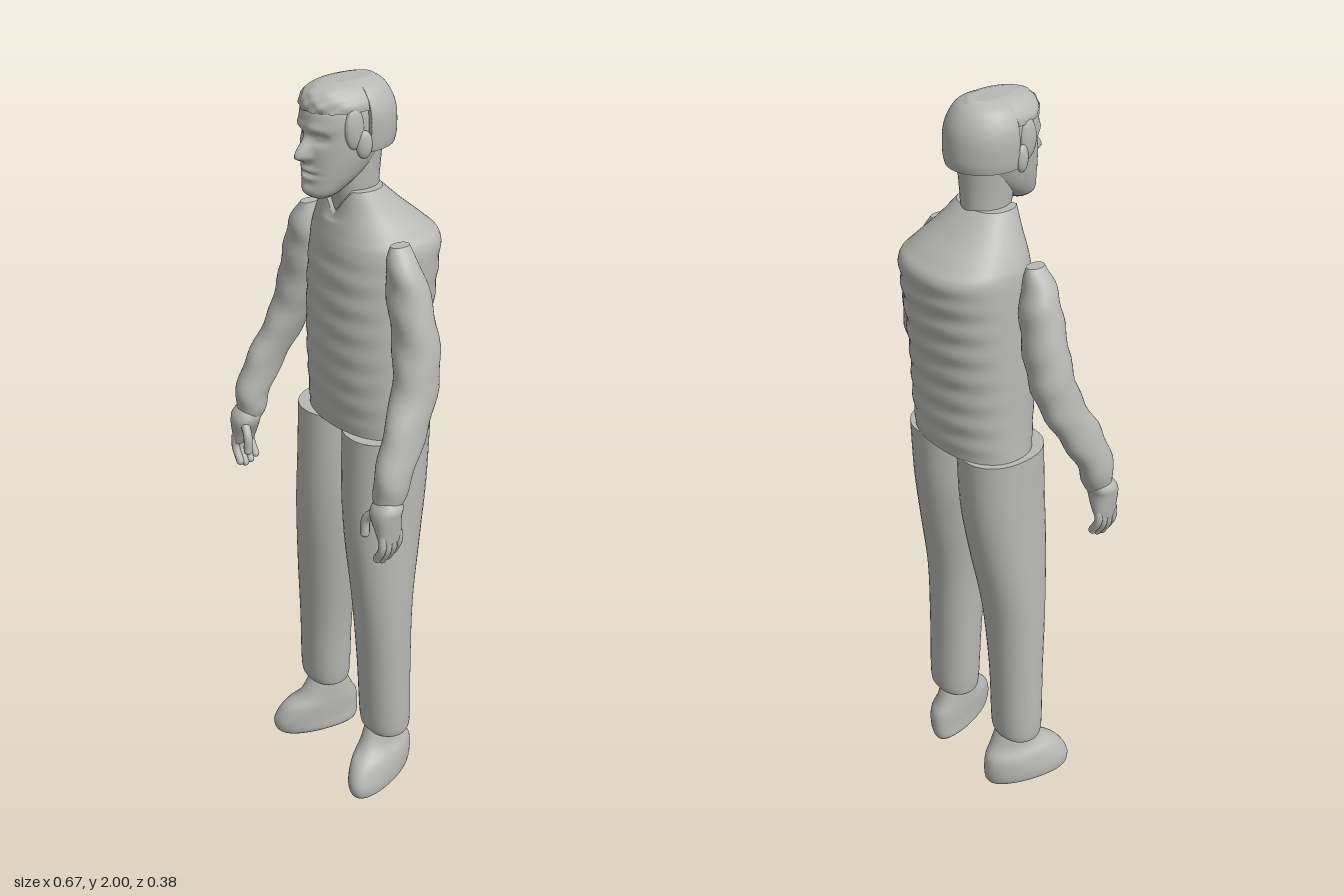
import * as THREE from 'three';

const grey = new THREE.MeshStandardMaterial({ color: 0xb8b8b4 });
grey.name = 'plain grey';

const bump = (d, w) => Math.exp(-(d * d) / (w * w));

// Smooth curve through the rows of a table
function sample(rows, steps) {
  const out = [], last = rows.length - 1;
  for (let i = 0; i <= last * steps; i++) {
    const k = Math.min(Math.floor(i / steps), last - 1), t = i / steps - k;
    const [a, b, c, d] = [k - 1, k, k + 1, k + 2].map(j => rows[Math.max(0, Math.min(last, j))]);
    out.push(b.map((p, n) => 0.5 * (2 * p + (c[n] - a[n]) * t
      + (2 * a[n] - 5 * p + 4 * c[n] - d[n]) * t * t
      + (3 * p - a[n] - 3 * c[n] + d[n]) * t * t * t)));
  }
  return out;
}

// Closed body from level sections, lowest first: [y, xMin, xMax, zMin, zMax]
function loft(name, rows, { steps = 5, sides = 36, power = 2, shape = null } = {}) {
  const rings = sample(rows, steps), pos = [], idx = [], v = new THREE.Vector3();
  const sq = c => Math.sign(c) * Math.pow(Math.abs(c), 2 / power);
  const addRing = ([y, x0, x1, z0, z1]) => {
    const first = pos.length / 3;
    for (let j = 0; j < sides; j++) {
      const t = j / sides * Math.PI * 2;
      v.set((x0 + x1) / 2 + (x1 - x0) / 2 * sq(Math.cos(t)), y, (z0 + z1) / 2 + (z1 - z0) / 2 * sq(Math.sin(t)));
      if (shape) shape(v);
      pos.push(v.x, v.y, v.z);
    }
    return first;
  };
  rings.forEach(addRing);
  for (let i = 0; i < rings.length - 1; i++) for (let j = 0; j < sides; j++) {
    const a = i * sides + j, b = i * sides + (j + 1) % sides;
    idx.push(a, a + sides, b, b, a + sides, b + sides);
  }
  // end caps with their own corners, so the rims stay sharp
  [[rings[0], false], [rings[rings.length - 1], true]].forEach(([r, top]) => {
    const f = addRing(r), c = pos.length / 3;
    v.set((r[1] + r[2]) / 2, r[0], (r[3] + r[4]) / 2);
    pos.push(v.x, v.y, v.z);
    for (let j = 0; j < sides; j++) {
      const a = f + j, b = f + (j + 1) % sides;
      if (top) idx.push(c, b, a); else idx.push(c, a, b);
    }
  });
  const g = new THREE.BufferGeometry();
  g.setAttribute('position', new THREE.Float32BufferAttribute(pos, 3));
  g.setIndex(idx);
  g.computeVertexNormals();
  const m = new THREE.Mesh(g, grey);
  m.name = name;
  return m;
}

function ball(name, x, y, z, rx, ry, rz) {
  const m = new THREE.Mesh(new THREE.SphereGeometry(1, 18, 12), grey);
  m.name = name;
  m.position.set(x, y, z);
  m.scale.set(rx, ry, rz);
  return m;
}

function finger(name, pts, r) {
  const g = new THREE.Group();
  g.name = name;
  const p = pts.map(q => new THREE.Vector3(...q)), tip = pts[pts.length - 1];
  g.add(new THREE.Mesh(new THREE.TubeGeometry(new THREE.CatmullRomCurve3(p), 10, r, 10), grey),
    ball(name + 'Tip', ...tip, r, r, r));
  return g;
}

const AXIS = 0.006; // middle line of the upper body

export function createModel() {
  const model = new THREE.Group();
  model.name = 'standingMan';

  // Ribbed vest with a V at the collar
  model.add(loft('vest', [
    [1.11, -0.165, 0.182, -0.14, 0.09], [1.2, -0.16, 0.182, -0.15, 0.1],
    [1.32, -0.158, 0.182, -0.157, 0.107], [1.44, -0.155, 0.183, -0.168, 0.108],
    [1.54, -0.152, 0.183, -0.18, 0.104], [1.605, -0.148, 0.178, -0.187, 0.097],
    [1.64, -0.135, 0.155, -0.158, 0.09], [1.69, -0.105, 0.115, -0.1, 0.08], [1.742, -0.072, 0.082, -0.045, 0.075],
  ], {
    steps: 9, sides: 56, power: 2.3, shape: v => {
      const fade = THREE.MathUtils.smoothstep(1.62 - v.y, 0, 0.08) * THREE.MathUtils.smoothstep(v.y, 1.11, 1.16);
      const fold = 1 + 0.02 * fade * Math.sin(v.y * 95 + Math.sin(v.x * 14) * 0.8);
      v.z *= fold;
      if (v.z > 0.02 && v.y > 1.66) v.y -= (v.y - 1.66) * 0.85 * Math.max(0, 1 - Math.abs(v.x - AXIS) / 0.055);
    },
  }));

  // Trousers
  model.add(loft('leftTrouserLeg', [
    [0.17, 0.065, 0.19, -0.045, 0.05], [0.195, 0.055, 0.203, -0.06, 0.065], [0.4, 0.05, 0.205, -0.06, 0.075],
    [0.6, 0.043, 0.205, -0.067, 0.09], [0.8, 0.022, 0.2, -0.1, 0.105],
    [0.95, 0.006, 0.198, -0.122, 0.105], [1.112, 0.002, 0.197, -0.132, 0.1],
  ], { power: 2.2 }));
  model.add(loft('rightTrouserLeg', [
    [0.18, -0.205, -0.08, -0.045, 0.05], [0.205, -0.218, -0.07, -0.06, 0.065], [0.4, -0.21, -0.055, -0.06, 0.075],
    [0.6, -0.203, -0.026, -0.067, 0.09], [0.8, -0.192, -0.002, -0.1, 0.105],
    [0.95, -0.185, 0.008, -0.122, 0.105], [1.112, -0.182, 0.008, -0.132, 0.1],
  ], { power: 2.2 }));

  for (const s of [1, -1]) {
    const side = s > 0 ? 'left' : 'right';
    const flip = (rows, a) => s > 0 ? rows : rows.map(([y, x0, x1, ...z]) => [y, 2 * a - x1, 2 * a - x0, ...z]);

    // Shoe, toes turned out
    model.add(loft(side + 'Shoe', flip([
      [0, 0.1, 0.185, -0.078, 0.14], [0.015, 0.088, 0.198, -0.085, 0.152], [0.05, 0.087, 0.2, -0.09, 0.155],
      [0.095, 0.085, 0.192, -0.087, 0.132], [0.135, 0.085, 0.172, -0.066, 0.085], [0.21, 0.085, 0.165, -0.038, 0.045],
    ], -0.005), { power: 2.2, shape: v => { v.x += s * 0.28 * (v.z - 0.03) * (1 - v.y / 0.3); } }));

    // Sleeve
    model.add(loft(side + 'Sleeve', flip([
      [1.02, 0.272, 0.325, 0.105, 0.165], [1.05, 0.26, 0.336, 0.095, 0.172], [1.1, 0.257, 0.34, 0.075, 0.173],
      [1.2, 0.246, 0.328, 0.018, 0.14], [1.3, 0.214, 0.313, -0.03, 0.09], [1.4, 0.182, 0.299, -0.045, 0.065],
      [1.525, 0.155, 0.265, -0.038, 0.06], [1.59, 0.155, 0.238, -0.025, 0.055], [1.64, 0.167, 0.2, -0.008, 0.042],
    ], AXIS), { power: 2.1, shape: v => { v.z += 0.003 * Math.sin(v.y * 60 + v.x * 30); } }));

    // Hand
    const hand = new THREE.Group();
    hand.name = side + 'Hand';
    const mx = pts => pts.map(([x, y, z]) => [s > 0 ? x : 2 * AXIS - x, y, z]);
    hand.add(loft(side + 'Palm', flip([
      [0.94, 0.305, 0.333, 0.118, 0.178], [0.97, 0.29, 0.337, 0.112, 0.183],
      [1.01, 0.268, 0.342, 0.112, 0.187], [1.035, 0.267, 0.342, 0.108, 0.18], [1.06, 0.28, 0.325, 0.112, 0.16],
    ], AXIS), { power: 2.4, sides: 24 }));
    [0.123, 0.14, 0.157, 0.173].forEach((z, i) => {
      const drop = [0.015, 0.004, 0, 0.008][i];
      hand.add(finger(side + 'Finger' + (i + 1),
        mx([[0.32, 0.965, z], [0.322, 0.92 + drop, z], [0.302, 0.882 + drop, z]]), 0.0105));
    });
    hand.add(finger(side + 'Thumb', mx([[0.285, 1.015, 0.165], [0.259, 0.985, 0.174], [0.257, 0.945, 0.176]]), 0.012));
    model.add(hand);

    // Ear
    const ear = ball(side + 'Ear', AXIS + s * 0.086, 1.865, 0.05, 0.012, 0.034, 0.02);
    ear.rotation.y = -s * 0.3;
    model.add(ear);
  }

  // Neck
  model.add(loft('neck', [
    [1.6, -0.06, 0.072, -0.06, 0.07], [1.7, -0.05, 0.062, -0.05, 0.068],
    [1.77, -0.052, 0.064, -0.052, 0.085], [1.87, -0.06, 0.072, -0.06, 0.08],
  ]));

  // Head, with brow, eyes, nose, lips and chin pressed into the front
  model.add(loft('head', [
    [1.735, -0.02, 0.036, 0.085, 0.14], [1.75, -0.038, 0.053, 0.06, 0.152], [1.79, -0.057, 0.072, 0.0, 0.152],
    [1.84, -0.07, 0.085, -0.045, 0.152], [1.89, -0.076, 0.09, -0.065, 0.152], [1.94, -0.074, 0.088, -0.065, 0.15],
    [1.975, -0.058, 0.072, -0.05, 0.125], [1.992, -0.03, 0.044, -0.02, 0.08],
  ], {
    steps: 12, sides: 96, power: 2.15, shape: v => {
      if (v.z < 0.07) return;
      const x = v.x - AXIS, ax = Math.abs(x), y = v.y;
      const nose = y > 1.838 ? bump(y - 1.838, 0.034) : bump(y - 1.838, 0.012);
      v.z += 0.034 * nose * bump(x, 0.009 + 0.006 * nose)
        + 0.007 * bump(y - 1.905, 0.012) * bump(ax - 0.03, 0.03)
        - 0.014 * bump(y - 1.882, 0.013) * bump(ax - 0.034, 0.02)
        + 0.006 * bump(y - 1.882, 0.006) * bump(ax - 0.034, 0.012)
        + 0.008 * (bump(y - 1.805, 0.007) + bump(y - 1.786, 0.008)) * bump(x, 0.025)
        - 0.006 * bump(y - 1.796, 0.004) * bump(x, 0.026)
        + 0.007 * bump(y - 1.755, 0.014) * bump(x, 0.022);
    },
  }));

  // Hair: rounded back shell ending in a flat rim, and a cap over the crown
  model.add(loft('hairBack', [
    [1.845, -0.085, 0.098, -0.085, 0.12], [1.87, -0.089, 0.102, -0.09, 0.12], [1.92, -0.091, 0.104, -0.088, 0.12],
    [1.955, -0.083, 0.096, -0.078, 0.12], [1.985, -0.062, 0.075, -0.058, 0.1], [1.999, -0.03, 0.043, -0.035, 0.08],
  ], { sides: 64, shape: v => { v.z = Math.min(v.z, 0.035); } }));
  model.add(loft('hairCrown', [
    [1.943, -0.078, 0.092, -0.06, 0.153], [1.96, -0.077, 0.09, -0.06, 0.154], [1.98, -0.064, 0.077, -0.055, 0.145],
    [1.994, -0.045, 0.058, -0.045, 0.125], [2.0, -0.025, 0.038, -0.035, 0.1],
  ], { sides: 60, shape: v => { if (v.z > 0.04) v.z += 0.003 * Math.sin(v.x * 160) * Math.sin(v.y * 200); } }));
  for (const s of [1, -1]) {
    model.add(ball(s > 0 ? 'leftSideburn' : 'rightSideburn', AXIS + s * 0.077, 1.905, 0.072, 0.014, 0.05, 0.026));
  }
  return model;
}
